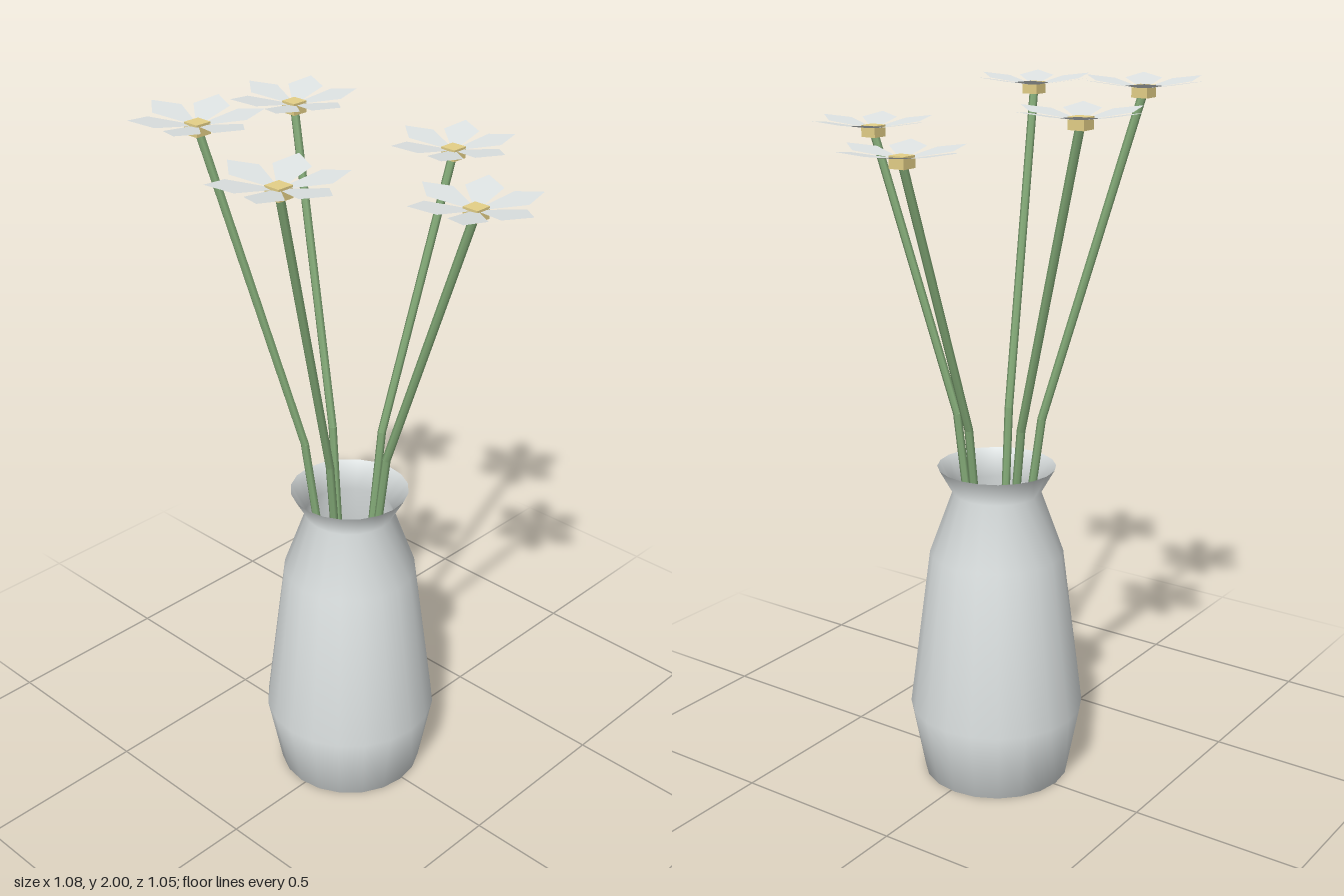
import * as THREE from 'three';

const mat = (name, color, side = THREE.FrontSide) => {
  const m = new THREE.MeshStandardMaterial({ color, side });
  m.name = name;
  return m;
};

// Straight round rod between two points
function rod(a, b, radius, material, name) {
  const dir = b.clone().sub(a);
  const mesh = new THREE.Mesh(new THREE.CylinderGeometry(radius, radius, dir.length(), 6), material);
  mesh.position.copy(a).add(b).multiplyScalar(0.5);
  mesh.quaternion.setFromUnitVectors(new THREE.Vector3(0, 1, 0), dir.normalize());
  mesh.name = name;
  return mesh;
}

export function createModel() {
  const model = new THREE.Group();
  model.name = 'vaseWithFlowers';

  const porcelain = mat('porcelain white', 0xdde2e2, THREE.DoubleSide);
  const green = mat('stem green', 0x84ab78);
  const yellow = mat('pollen yellow', 0xe4d088);

  // Thin-walled vase with a hollow pushed up under its base
  const axis = new THREE.Vector3(-0.014, 0, 0.008);
  const profile = [
    [0, 0.09], [0.08, 0.075], [0.13, 0.03], [0.15, 0], [0.21, 0],
    [0.25, 0.21], [0.19, 0.68], [0.125, 0.86], [0.167, 0.935],
  ].map(([r, y]) => new THREE.Vector2(r, y));
  const vase = new THREE.Mesh(new THREE.LatheGeometry(profile, 20), porcelain);
  vase.position.copy(axis);
  vase.name = 'vase';
  model.add(vase);

  // Pointed petal, lying flat along +x
  const outline = [[0.018, -0.01], [0.118, -0.049], [0.178, 0], [0.118, 0.049], [0.018, 0.01]];
  const petalGeometry = new THREE.ShapeGeometry(
    new THREE.Shape(outline.map(([x, y]) => new THREE.Vector2(x, y))));
  petalGeometry.rotateX(-Math.PI / 2);
  petalGeometry.rotateZ(0.16);

  const flowers = [
    [0.005, 1.825, -0.375], [-0.367, 1.922, -0.146], [0.363, 1.842, -0.042],
    [-0.32, 1.964, 0.239], [0.109, 1.94, 0.369],
  ];

  for (const p of flowers) {
    const head = new THREE.Vector3(...p);

    // Stem rises from the vase floor, then leans outward above the rim
    const foot = axis.clone().setY(0.09);
    const bend = head.clone().sub(axis).setY(0).normalize().multiplyScalar(0.125).add(axis).setY(1.07);
    const stem = new THREE.Group();
    stem.name = 'stem';
    stem.add(rod(foot, bend, 0.012, green, 'lowerStem'), rod(bend, head, 0.012, green, 'upperStem'));
    model.add(stem);

    // Blossom with six raised petals around a square heart
    const flower = new THREE.Group();
    flower.name = 'flower';
    flower.position.copy(head);
    const heart = new THREE.Mesh(new THREE.BoxGeometry(0.047, 0.032, 0.047), yellow);
    heart.name = 'flowerHeart';
    flower.add(heart);
    for (let i = 0; i < 6; i++) {
      const petal = new THREE.Mesh(petalGeometry, porcelain);
      petal.position.y = 0.006;
      petal.rotation.y = (i * Math.PI) / 3;
      petal.name = 'petal';
      flower.add(petal);
    }
    model.add(flower);
  }
  return model;
}
